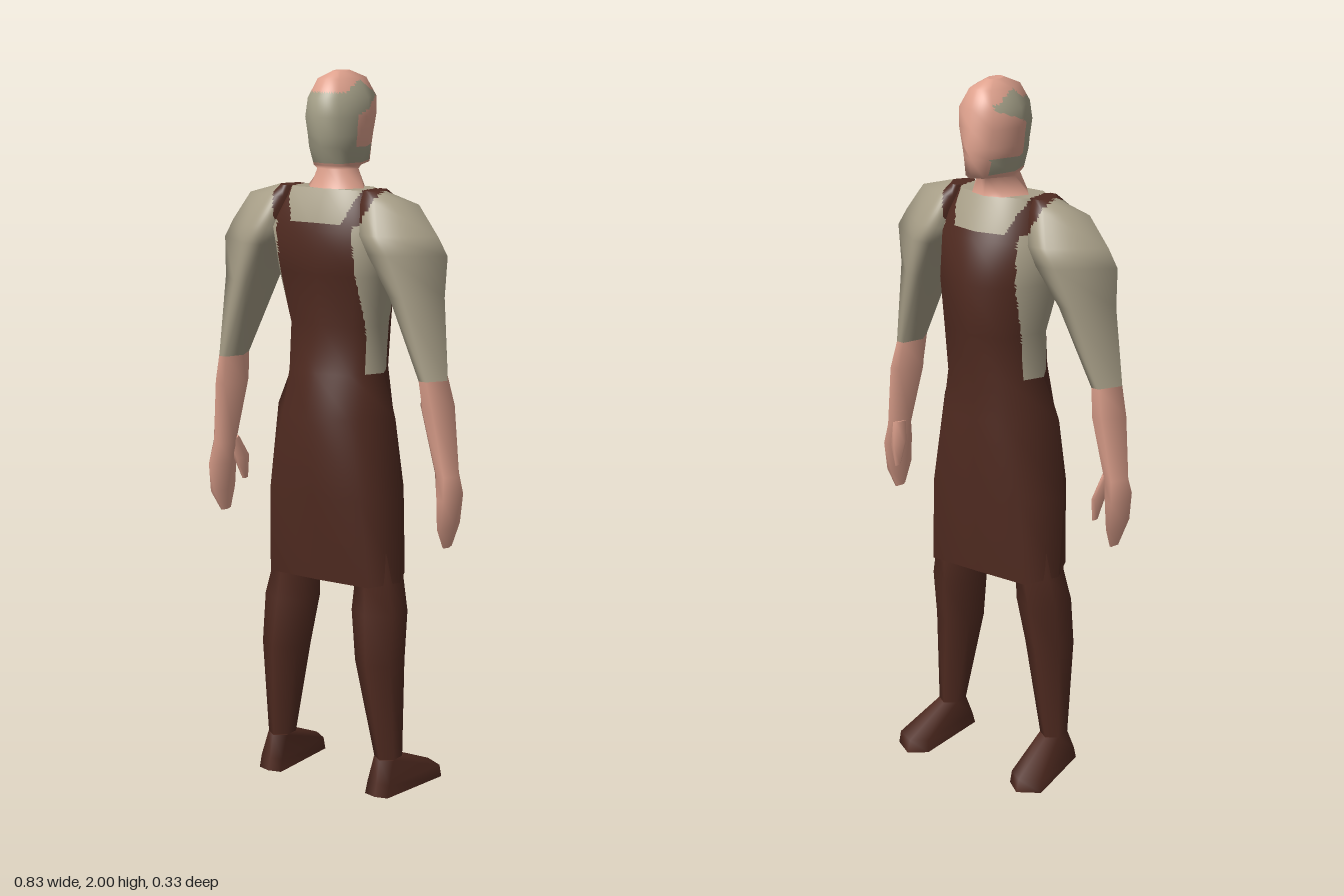
import * as THREE from 'three';

const flat = (name, color, side = THREE.FrontSide) => {
  const m = new THREE.MeshStandardMaterial({ color, side });
  m.name = name;
  return m;
};
const ring = (y, pts) => pts.map(([x, z]) => new THREE.Vector3(x, y, z));

// Section with 8 corners: back, back corner, side, front corner, front, mirrored
// row: y, zBack, xb, zb, xSide, zSide, xf, zf, zFront
const octRing = ([y, zBack, xb, zb, w, zs, xf, zf, zFront]) =>
  ring(y, [[0, zBack], [xb, zb], [w, zs], [xf, zf], [0, zFront], [-xf, zf], [-w, zs], [-xb, zb]]);

// Arm section, pointed at its inner and outer sides
// row: y, xInner, xOuter, zBack, zFront, x of the front and back ridges
const armRing = ([y, x0, x1, zb, zf, xm = (x0 + x1) / 2]) => {
  const e = (x1 - x0) * 0.14, zc = (zb + zf) / 2 + 0.005;
  return ring(y, [[xm - e, zb], [xm + e, zb], [x1, zc], [xm + e, zf], [xm - e, zf], [x0, zc]]);
};

// Leg section, row: y, xInner, xOuter, zBack, zFront
const legRing = ([y, x0, x1, zb, zf]) => {
  const xm = (x0 + x1) / 2, q = (zb - zf) / 4;
  return ring(y, [[xm, zb], [x1, zb - q], [x1, zf + q], [xm, zf], [x0, zf + q], [x0, zb - q]]);
};

// Skin a stack of rings from top to bottom; side -1 mirrors it
function loft(rings, side = 1, bottomCap = true) {
  if (side < 0) rings = rings.map(r => r.map(p => new THREE.Vector3(-p.x, p.y, p.z)).reverse());
  const n = rings[0].length, pos = [], idx = [];
  rings.forEach(r => r.forEach(p => pos.push(p.x, p.y, p.z)));
  for (let i = 0; i < rings.length - 1; i++) {
    for (let j = 0; j < n; j++) {
      const a = i * n + j, b = i * n + (j + 1) % n, c = a + n, d = b + n;
      idx.push(a, c, d, a, d, b);
    }
  }
  const cap = (r, up) => {
    const base = pos.length / 3;
    const mid = r.reduce((s, p) => s.add(p), new THREE.Vector3()).divideScalar(n);
    [...r, mid].forEach(p => pos.push(p.x, p.y, p.z));
    for (let j = 0; j < n; j++) {
      const a = base + j, b = base + (j + 1) % n;
      idx.push(base + n, up ? a : b, up ? b : a);
    }
  };
  cap(rings[0], true);
  if (bottomCap) cap(rings[rings.length - 1], false);
  const g = new THREE.BufferGeometry();
  g.setAttribute('position', new THREE.Float32BufferAttribute(pos, 3));
  g.setIndex(idx);
  g.computeVertexNormals();
  return g;
}

// Split triangles finely, keeping smooth normals, and sort them into colour groups
function paint(geo, levels, count, rule) {
  const g = geo.toNonIndexed(), P = g.attributes.position, N = g.attributes.normal;
  const out = Array.from({ length: count }, () => ({ p: [], n: [] }));
  const mid = (a, b) => ({
    p: a.p.clone().add(b.p).multiplyScalar(0.5),
    n: a.n.clone().add(b.n).multiplyScalar(0.5),
  });
  const split = (a, b, c, level) => {
    if (level === 0) {
      const q = a.p.clone().add(b.p).add(c.p).divideScalar(3);
      const o = out[rule(q.x, q.y, q.z)];
      [a, b, c].forEach(v => {
        const m = v.n.clone().normalize();
        o.p.push(v.p.x, v.p.y, v.p.z);
        o.n.push(m.x, m.y, m.z);
      });
      return;
    }
    const ab = mid(a, b), bc = mid(b, c), ca = mid(c, a);
    split(a, ab, ca, level - 1);
    split(ab, b, bc, level - 1);
    split(ca, bc, c, level - 1);
    split(ab, bc, ca, level - 1);
  };
  const vert = i => ({
    p: new THREE.Vector3().fromBufferAttribute(P, i),
    n: new THREE.Vector3().fromBufferAttribute(N, i),
  });
  for (let i = 0; i < P.count; i += 3) split(vert(i), vert(i + 1), vert(i + 2), levels);
  const res = new THREE.BufferGeometry();
  res.setAttribute('position', new THREE.Float32BufferAttribute(out.flatMap(o => o.p), 3));
  res.setAttribute('normal', new THREE.Float32BufferAttribute(out.flatMap(o => o.n), 3));
  let start = 0;
  out.forEach((o, k) => {
    if (o.p.length) res.addGroup(start, o.p.length / 3, k);
    start += o.p.length / 3;
  });
  return res;
}

export function createModel() {
  const model = new THREE.Group();
  model.name = 'apronedMan';
  const skin = flat('skin', 0xdea18d);
  const shirt = flat('shirt', 0xa89f88);
  const hair = flat('hair', 0xa6a189);
  const leather = flat('leather', 0x4f2a20, THREE.DoubleSide);
  const add = (name, geo, mat) => {
    const m = new THREE.Mesh(geo, mat);
    m.name = name;
    model.add(m);
  };

  // Torso and skirt: shirt with bib, shoulder straps and apron
  const torso = loft([
    [1.69, .085, .1, .085, .15, .04, .09, -.02, -.035],
    [1.58, .135, .13, .14, .2, .05, .12, -.075, -.1],
    [1.46, .125, .12, .12, .185, .04, .11, -.1, -.135],
    [1.32, .105, .1, .1, .155, .02, .1, -.095, -.12],
    [1.19, .13, .1, .11, .15, .02, .1, -.08, -.1],
    [1.07, .165, .11, .13, .195, .03, .11, -.09, -.1],
    [.85, .145, .15, .135, .215, .03, .15, -.085, -.1],
    [.605, .12, .165, .115, .205, .02, .16, -.078, -.08],
  ].map(octRing), 1, false);
  const strap = (x, y) => Math.abs(Math.abs(x) - (0.11 + (y - 1.6) * 0.36)) < 0.028;
  add('torsoAndApron', paint(torso, 4, 2, (x, y) => {
    if (y < 1.19) return 1;
    if (y < 1.6) return Math.abs(x) < 0.122 ? 1 : 0;
    return strap(x, y) ? 1 : 0;
  }), [shirt, leather]);

  // Head and neck: bald crown and face, hair around back and jaw
  const head = loft([
    [2, .03, .012, .025, .02, 0, .012, -.02, -.025],
    [1.98, .075, .035, .065, .055, 0, .035, -.065, -.075],
    [1.93, .108, .05, .09, .085, 0, .055, -.085, -.1],
    [1.88, .115, .055, .095, .09, 0, .055, -.085, -.107],
    [1.83, .11, .05, .09, .085, 0, .045, -.085, -.128],
    [1.8, .1, .05, .085, .08, 0, .04, -.085, -.108],
    [1.75, .08, .045, .07, .062, 0, .03, -.09, -.11],
    [1.74, .07, .04, .06, .06, .01, .03, -.025, -.04],
    [1.69, .09, .05, .08, .09, .03, .05, -.035, -.05],
  ].map(octRing));
  add('head', paint(head, 3, 2, (x, y, z) => {
    const crown = y > 1.945 && Math.abs(x) < 0.056;
    const face = y > 1.8 && y < 1.9 - z * 0.4 && z < 0.035;
    return crown || face || z < -0.078 || y < 1.755 ? 0 : 1;
  }), [skin, hair]);

  for (const side of [1, -1]) {
    const label = side > 0 ? 'left' : 'right';

    // Sleeve from shoulder to elbow
    add(label + 'Sleeve', paint(loft([
      [1.69, .1, .17, .08, 0],
      [1.66, .1, .275, .1, -.02, .15],
      [1.58, .12, .335, .142, -.06, .18],
      [1.53, .15, .365, .14, -.06, .205],
      [1.42, .21, .36, .125, -.035, .255],
      [1.2, .295, .378, .11, 0, .33],
    ].map(armRing), side), 3, 2,
    (x, y) => y > 1.6 && strap(x, y) ? 1 : 0), [shirt, leather]);

    // Bare forearm and hand
    add(label + 'Forearm', loft([
      [1.2, .295, .378, .11, 0, .33],
      [1.12, .29, .397, .106, -.01],
      [.94, .335, .41, .085, .005],
      [.88, .345, .417, .1, -.005],
      [.8, .358, .4, .1, 0],
      [.74, .364, .382, .065, .025],
    ].map(armRing), side), skin);
    add(label + 'Thumb', loft([
      [.95, .34, .378, .05, .005],
      [.89, .328, .362, .035, -.025],
      [.825, .336, .346, .005, -.018],
    ].map(armRing), side), skin);

    // Trouser leg
    add(label + 'Leg', loft([
      [.95, .04, .16, .09, -.04],
      [.61, .085, .195, .1, -.055],
      [.52, .08, .215, .11, -.045],
      [.38, .1, .217, .12, -.025],
      [.1, .15, .215, .082, -.005],
    ].map(legRing), side), leather);

    // Shoe with pointed toe
    add(label + 'Shoe', loft([
      ring(.1, [[.183, .085], [.215, .062], [.215, .015], [.183, -.006], [.15, .015], [.15, .062]]),
      ring(.035, [[.183, .1], [.22, .09], [.252, -.125], [.195, -.155], [.15, -.125], [.147, .09]]),
      ring(0, [[.183, .11], [.22, .1], [.255, -.13], [.195, -.167], [.147, -.13], [.145, .1]]),
    ], side), leather);
  }
  return model;
}
